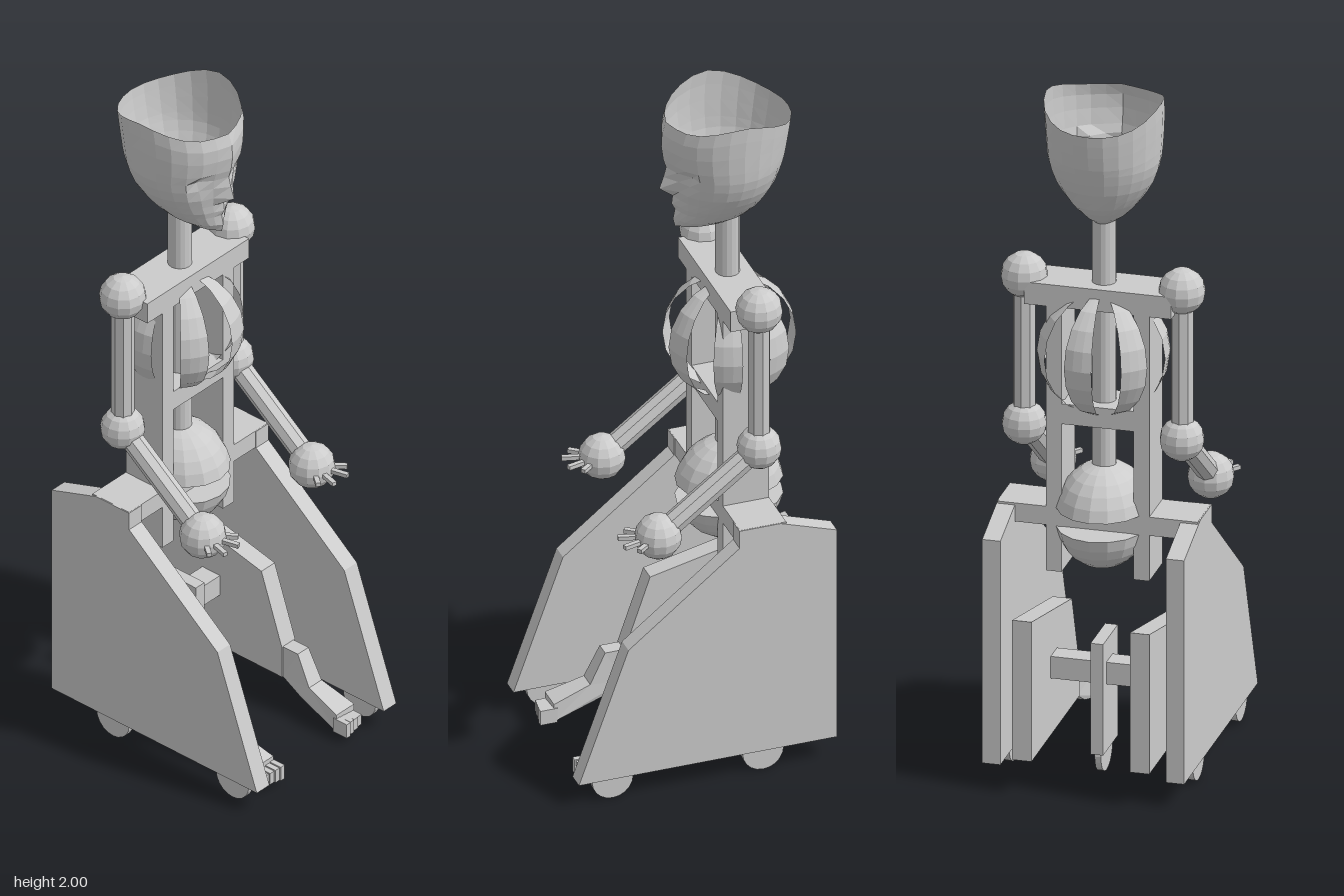
import * as THREE from 'three';

const material = new THREE.MeshStandardMaterial({ color: 0xcccccc, flatShading: true, side: THREE.DoubleSide });
const BODY_Z = -0.15;

export function createModel() {
  const model = new THREE.Group();

  function add(name, geometry, x = 0, y = 0, z = 0) {
    const mesh = new THREE.Mesh(geometry, material);
    mesh.name = name;
    mesh.position.set(x, y, z);
    model.add(mesh);
    return mesh;
  }
  const box = (name, w, h, d, x, y, z) => add(name, new THREE.BoxGeometry(w, h, d), x, y, z);
  const ball = (name, r, x, y, z) => add(name, new THREE.SphereGeometry(r, 12, 8), x, y, z);

  // Flat plate from a [z, y] outline, centred on x
  function plateGeometry(points, thickness) {
    const shape = new THREE.Shape(points.map(([z, y]) => new THREE.Vector2(z, y)));
    const g = new THREE.ExtrudeGeometry(shape, { depth: thickness, bevelEnabled: false });
    return g.translate(0, 0, -thickness / 2).rotateY(-Math.PI / 2);
  }

  // Round rod between two points
  function rod(name, a, b, r, sides = 8) {
    const dir = b.clone().sub(a);
    const mesh = add(name, new THREE.CylinderGeometry(r, r, dir.length(), sides));
    mesh.position.copy(a).addScaledVector(dir, 0.5);
    mesh.quaternion.setFromUnitVectors(new THREE.Vector3(0, 1, 0), dir.normalize());
  }

  function wheel(name, x, z) {
    add(name, new THREE.CylinderGeometry(0.06, 0.06, 0.018, 20).rotateZ(Math.PI / 2), x, 0.06, z);
  }

  add('head', headGeometry());

  // Spine and torso frame
  rod('spine', new THREE.Vector3(0, 0.8, BODY_Z), new THREE.Vector3(0, 1.66, BODY_Z), 0.034, 16);
  box('shoulderBar', 0.42, 0.065, 0.135, 0, 1.418, BODY_Z);
  box('waistBar', 0.29, 0.06, 0.135, 0, 1.07, BODY_Z);
  box('hipBar', 0.57, 0.055, 0.135, 0, 0.763, BODY_Z);

  // Rib cage: seven strips of a sphere
  const strip = Math.PI / 7;
  for (let i = 0; i < 7; i++) {
    const g = new THREE.SphereGeometry(0.184, 1, 10, -Math.PI / 2 - strip / 2, strip);
    g.rotateY(-0.14 - i * 2 * strip);
    add('rib', g, 0, 1.25, -0.155);
  }

  // Pelvis: two closed caps with a gap for the hip bar
  for (const s of [1, -1]) {
    const profile = [];
    for (let i = 0; i <= 6; i++) {
      const a = THREE.MathUtils.lerp(0.18, Math.PI / 2, i / 6);
      profile.push(new THREE.Vector2(Math.cos(a) * 0.155, s * Math.sin(a) * 0.153));
    }
    profile.unshift(new THREE.Vector2(0, profile[0].y));
    const cap = add(s > 0 ? 'upperPelvis' : 'lowerPelvis', new THREE.LatheGeometry(profile, 16), 0, 0.762, BODY_Z - 0.004);
    cap.scale.x = 0.86;
  }

  // Centre stand
  box('centrePost', 0.036, 0.33, 0.15, 0, 0.235, BODY_Z);
  wheel('centreWheel', 0, -0.155);
  box('legBar', 0.48, 0.065, 0.065, 0, 0.302, -0.16);

  const panel = [[0.39, 0.07], [0.245, 0.475], [-0.08, 0.735], [-0.08, 0.79], [-0.2, 0.79], [-0.365, 0.735], [-0.365, 0.07]];
  const leg = [[-0.39, 0.1], [-0.39, 0.515], [0.025, 0.42], [0.1, 0.2], [0.1, 0.1]];
  const foot = [[0.1, 0.2], [0.155, 0.2], [0.2, 0.11], [0.31, 0.075], [0.31, 0.02], [0.17, 0.06], [0.1, 0.1]];

  for (const s of [1, -1]) {
    box('torsoPost', 0.045, 0.8, 0.135, s * 0.125, 1.0, BODY_Z);

    // Side panel with wheels
    add('sidePanel', plateGeometry(panel, 0.052), s * 0.262, 0, 0);
    wheel('frontWheel', s * 0.262, 0.285);
    wheel('rearWheel', s * 0.262, -0.155);

    // Leg, with a foot that widens toward the toes
    add('leg', plateGeometry(leg, 0.055), s * 0.168, 0, 0);
    const footGeometry = plateGeometry(foot, 0.044);
    const p = footGeometry.attributes.position;
    for (let i = 0; i < p.count; i++) {
      p.setX(i, p.getX(i) * (1 + Math.max(0, p.getZ(i) - 0.16) * 4.5));
    }
    footGeometry.computeVertexNormals();
    add('foot', footGeometry, s * 0.167, 0, 0);
    for (let i = 0; i < 4; i++) {
      box('toe', 0.016, 0.045 - i * 0.004, 0.05, s * (0.136 + i * 0.0185), 0.04, 0.325 - i * 0.003);
    }

    // Arm
    const shoulder = new THREE.Vector3(s * 0.225, 1.45, -0.16);
    const elbow = new THREE.Vector3(s * 0.225, 1.01, -0.16);
    const hand = new THREE.Vector3(s * 0.225, 0.785, 0.135);
    ball('shoulder', 0.066, ...shoulder);
    ball('elbow', 0.063, ...elbow);
    ball('hand', 0.066, ...hand);
    rod('upperArm', shoulder, elbow, 0.032);
    rod('forearm', elbow, hand, 0.032);
    for (const a of [-0.66, -0.25, 0.25, 0.66]) {
      const length = Math.abs(a) > 0.5 ? 0.098 : 0.112;
      const g = new THREE.BoxGeometry(0.014, 0.012, length).translate(0, 0, length / 2);
      add('finger', g, ...hand).rotation.y = a;
    }
  }
  return model;
}

// Open-topped mask-like head, built from oval loops
function headGeometry() {
  // height, half width, front z, back z, nose bump, eye dent
  const rows = [
    [1.622, 0.008, -0.02, -0.12, 0.01, 0],
    [1.626, 0.03, -0.008, -0.175, 0.012, 0],
    [1.65, 0.062, 0.0, -0.21, 0.01, 0],
    [1.68, 0.088, 0.0, -0.24, 0.004, 0],
    [1.70, 0.103, 0.004, -0.255, 0.01, 0],
    [1.725, 0.12, 0.005, -0.268, 0.006, 0],
    [1.755, 0.137, 0.01, -0.283, 0.04, 0],
    [1.79, 0.15, 0.014, -0.295, 0.024, 0.006],
    [1.82, 0.157, 0.018, -0.304, 0.012, 0.016],
    [1.845, 0.16, 0.026, -0.31, 0.012, 0],
    [1.89, 0.163, 0.034, -0.318, 0.01, 0],
    [1.93, 0.165, 0.034, -0.324, 0.008, 0],
    [1.965, 0.165, 0.024, -0.328, 0.006, 0],
  ];
  const n = 24, positions = [], index = [];
  rows.forEach(([y, w, zf, zb, nose, dent], r) => {
    for (let i = 0; i < n; i++) {
      const a = (i / n) * Math.PI * 2;
      const c = Math.cos(a);
      const mid = (zf + zb) / 2;
      let z = mid + c * (zf - mid);
      if (i === 0) z += nose;
      if (i === 2 || i === n - 2) z -= dent;
      // The rim rises at the temples and dips at the back
      const rim = Math.pow(Math.sin(a), 4) * 0.035 - Math.max(0, -c) * 0.018;
      const rise = r < 9 ? 0 : ((r - 8) / 4) * rim;
      positions.push(Math.sin(a) * w, y + rise, z);
      if (r > 0) {
        const j = (i + 1) % n, lo = (r - 1) * n, hi = r * n;
        index.push(lo + i, lo + j, hi + j, lo + i, hi + j, hi + i);
      }
    }
  });
  // Close the underside
  positions.push(0, 1.622, -0.08);
  for (let i = 0; i < n; i++) index.push(rows.length * n, (i + 1) % n, i);
  const g = new THREE.BufferGeometry();
  g.setAttribute('position', new THREE.Float32BufferAttribute(positions, 3));
  g.setIndex(index);
  g.computeVertexNormals();
  return g;
}
